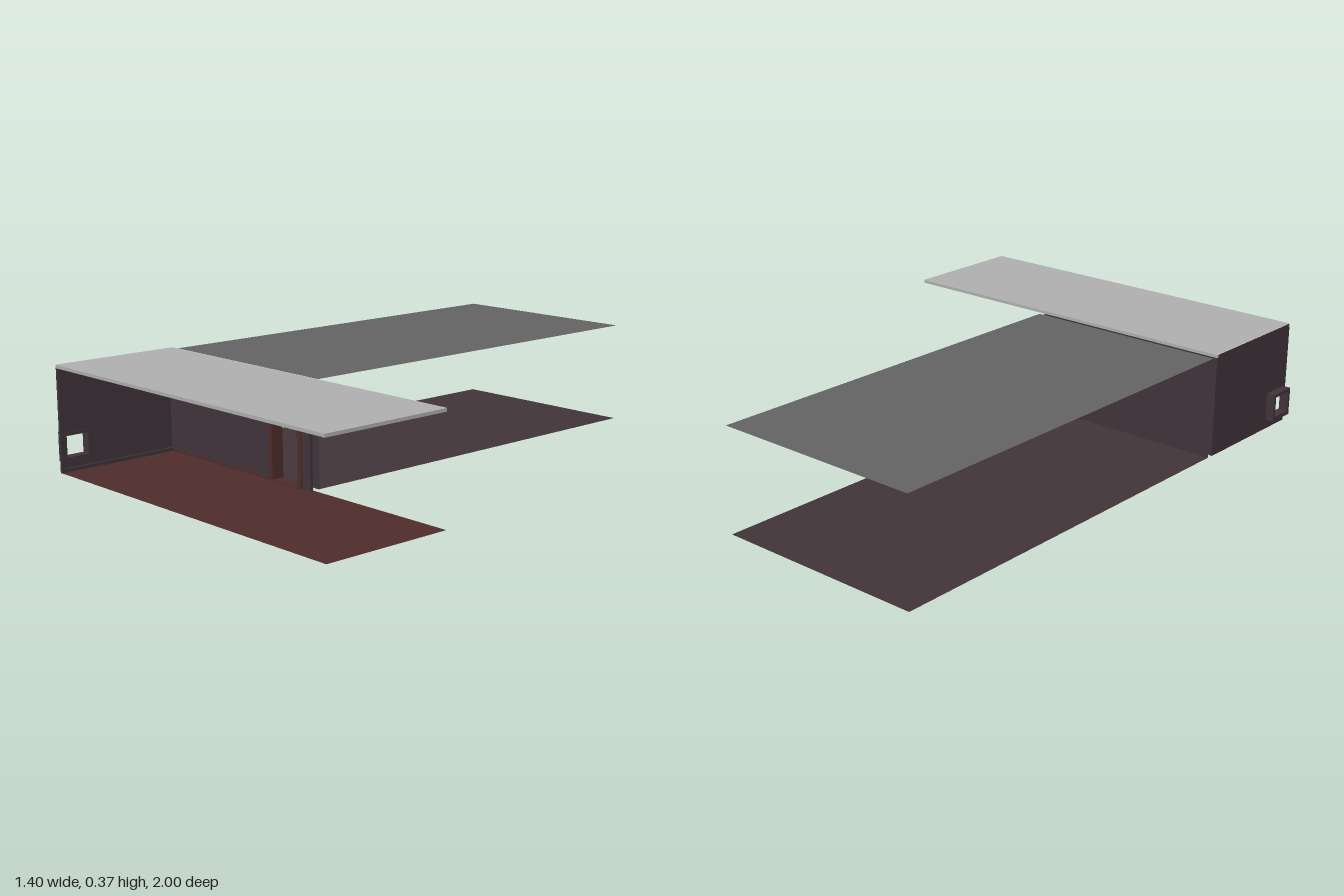
import * as THREE from 'three';

const mat = (name, color, side = THREE.FrontSide) => {
  const m = new THREE.MeshStandardMaterial({ color, side });
  m.name = name;
  return m;
};

export function createModel() {
  const model = new THREE.Group();
  model.name = 'rooms';
  const D = THREE.DoubleSide;
  const plum = mat('dark plum', 0x42353b, D);
  const brown = mat('red brown', 0x502d2d, D);
  const pale = mat('pale grey', 0xb2b2b2, D);
  const grey = mat('mid grey', 0x656565, D);

  const add = (name, geometry, material, parent = model) => {
    const mesh = new THREE.Mesh(geometry, material);
    mesh.name = name;
    parent.add(mesh);
    return mesh;
  };
  // Box between two corners
  const box = (name, m, x0, x1, y0, y1, z0, z1, parent) =>
    add(name, new THREE.BoxGeometry(x1 - x0, y1 - y0, z1 - z0), m, parent)
      .position.set((x0 + x1) / 2, (y0 + y1) / 2, (z0 + z1) / 2);
  // Flat horizontal sheet
  const sheet = (name, m, x0, x1, y, z0, z1, parent) => {
    const g = new THREE.PlaneGeometry(x1 - x0, z1 - z0).rotateX(-Math.PI / 2);
    add(name, g, m, parent).position.set((x0 + x1) / 2, y, (z0 + z1) / 2);
  };
  // Closed outline from corner points
  const outline = (pts) => new THREE.Shape(pts.map(([x, y]) => new THREE.Vector2(x, y)));
  const rect = (a, b, c, d) => [[a, c], [b, c], [b, d], [a, d]];

  const L = -0.672, R = 0.09, END = 0.698, H = 0.373;
  const Z0 = 0.53, Z1 = 1;

  // Floors and rear ceiling
  sheet('frontFloor', brown, L, END, 0.001, Z0, Z1);
  sheet('rearFloor', plum, L, R, 0.001, -1, 0.505);
  sheet('rearCeiling', grey, L, R, 0.366, -1, 0.505);

  // Front ceiling: shallow tray open underneath
  const ceiling = new THREE.Group();
  ceiling.name = 'frontCeiling';
  model.add(ceiling);
  sheet('ceilingSheet', pale, L, END, H, Z0, Z1, ceiling);
  const lip = 0.006, low = 0.361, top = H - 0.001;
  box('frontLip', pale, L, END, low, top, Z1 - lip, Z1, ceiling);
  box('rearLip', pale, L, END, low, top, Z0, Z0 + lip, ceiling);
  box('endLip', pale, END - lip, END, low, top, Z0 + lip, Z1 - lip, ceiling);

  // Walls on both sides of the doorway, notched for the door
  const notched = outline([[L, 0], [-0.105, 0], [-0.105, 0.28], [0.04, 0.28],
    [0.04, 0], [R, 0], [R, 0.361], [L, 0.361]]);
  add('frontRoomWall', new THREE.ExtrudeGeometry(notched, { depth: 0.011, bevelEnabled: false }), plum)
    .position.z = 0.532;
  add('rearRoomWall', new THREE.ShapeGeometry(notched), plum).position.z = 0.505;

  // Door frame bridging the two walls
  const frame = outline([[-0.115, 0], [-0.098, 0], [-0.098, 0.257], [0.031, 0.257],
    [0.031, 0], [0.05, 0], [0.05, 0.298], [-0.115, 0.298]]);
  add('doorFrame', new THREE.ExtrudeGeometry(frame, { depth: 0.046, bevelEnabled: false }), brown)
    .position.z = 0.502;
  box('doorSill', brown, -0.115, 0.05, 0, 0.005, 0.502, 0.548);
  box('baseboard', brown, L + 0.01, -0.115, 0, 0.011, 0.543, 0.546);

  // Side wall with a window hole; shape is drawn in z and y, then turned
  const turn = (g) => g.rotateY(-Math.PI / 2);
  const hole = () => new THREE.Path(outline(rect(0.889, 0.973, 0.05, 0.125)).getPoints());
  const side = outline(rect(Z0, Z1, 0, H - 0.001));
  side.holes.push(hole());
  add('sideWall', turn(new THREE.ShapeGeometry(side)), plum).position.x = L;

  // Raised border along the inside of the side wall
  const border = outline(rect(Z0, Z1, 0, 0.361));
  border.holes.push(new THREE.Path(outline(rect(0.543, 0.988, 0.014, 0.349)).getPoints()));
  add('sideWallBorder', turn(new THREE.ExtrudeGeometry(border, { depth: 0.009, bevelEnabled: false })), plum)
    .position.x = L + 0.01;

  // Window box standing out from the side wall
  const win = outline(rect(0.876, 0.984, 0.035, 0.137));
  win.holes.push(hole());
  add('windowFrame', turn(new THREE.ExtrudeGeometry(win, { depth: 0.035, bevelEnabled: false })), plum)
    .position.x = L + 0.004;

  return model;
}
